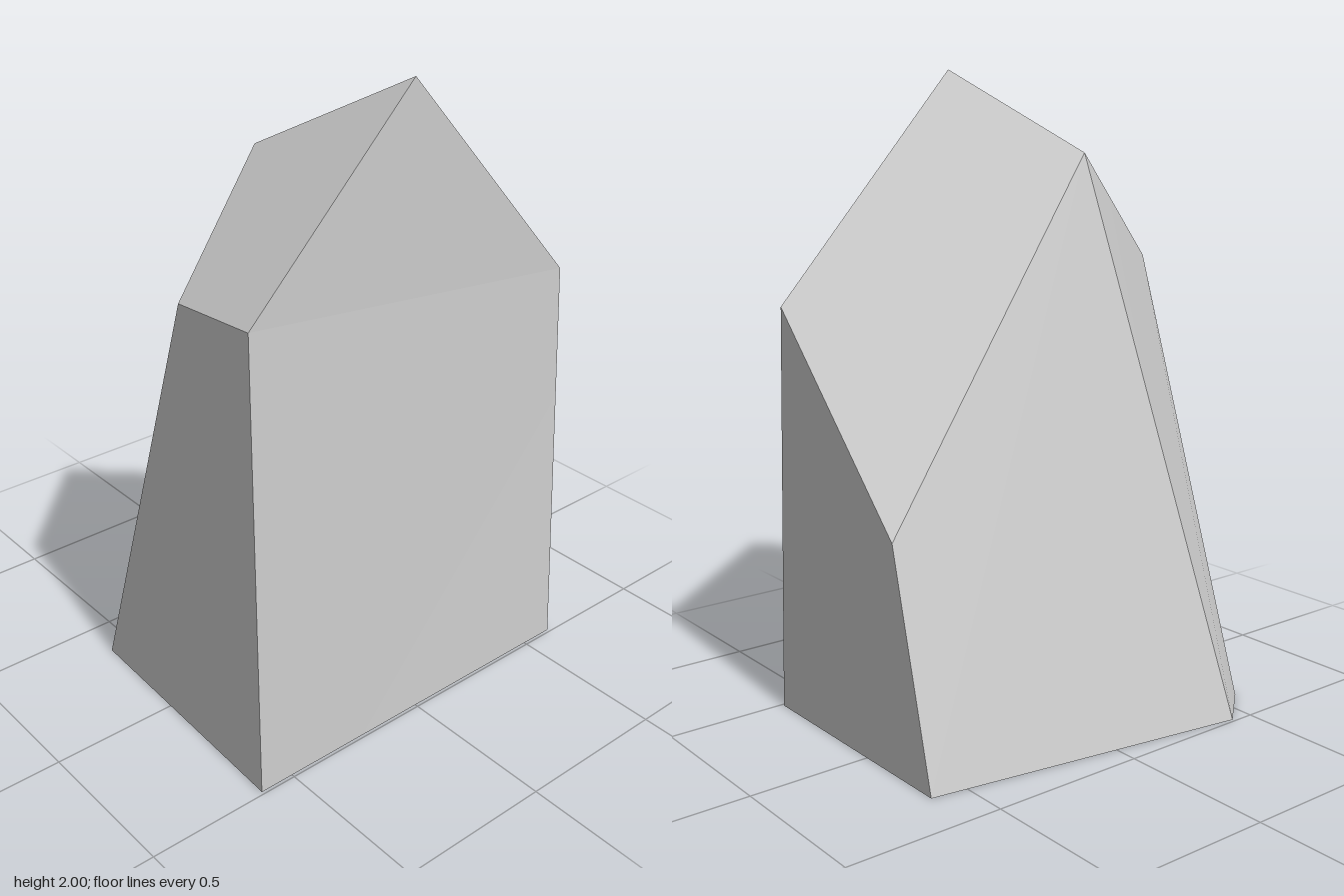
import * as THREE from 'three';

export function createModel() {
  const group = new THREE.Group();
  group.name = 'rock';
  const stone = new THREE.MeshStandardMaterial({ color: 0xcccccc });
  stone.name = 'stone grey';

  // Corners of the footprint
  const baseLeft = [-0.49, 0, 0.43];
  const baseFrontLeft = [-0.36, 0, 0.58];
  const baseFrontRight = [0.49, 0, 0.613];
  const baseBackRight = [0.49, 0, -0.613];
  const baseBackLeft = [-0.33, 0, -0.613];

  // Corners of the cut top
  const peak = [0.422, 2, 0.015];
  const ridgeEnd = [-0.022, 1.75, 0.203];
  const frontLeft = [0.096, 1.404, 0.563];
  const frontRight = [0.422, 1.436, 0.575];
  const backRight = [0.422, 1.3, -0.613];
  const backLeft = [-0.157, 0.7, -0.613];

  // Flat facets, each listed anticlockwise from outside
  const facets = {
    underside: [baseLeft, baseBackLeft, baseBackRight, baseFrontRight, baseFrontLeft],
    frontFace: [baseFrontLeft, baseFrontRight, frontRight, frontLeft],
    chamferFace: [baseLeft, baseFrontLeft, frontLeft, ridgeEnd],
    slopedSide: [baseBackLeft, baseLeft, ridgeEnd, backLeft],
    backFace: [baseBackRight, baseBackLeft, backLeft, backRight],
    steepSide: [baseFrontRight, baseBackRight, backRight, frontRight],
    gableSide: [frontRight, backRight, peak],
    frontRoof: [frontLeft, frontRight, peak, ridgeEnd],
    backRoof: [backRight, backLeft, ridgeEnd, peak],
  };

  for (const [name, corners] of Object.entries(facets)) {
    const index = [];
    for (let i = 1; i < corners.length - 1; i++) index.push(0, i, i + 1);
    const geometry = new THREE.BufferGeometry();
    geometry.setAttribute('position', new THREE.Float32BufferAttribute(corners.flat(), 3));
    geometry.setIndex(index);
    geometry.computeVertexNormals();
    const mesh = new THREE.Mesh(geometry, stone);
    mesh.name = name;
    group.add(mesh);
  }
  return group;
}
